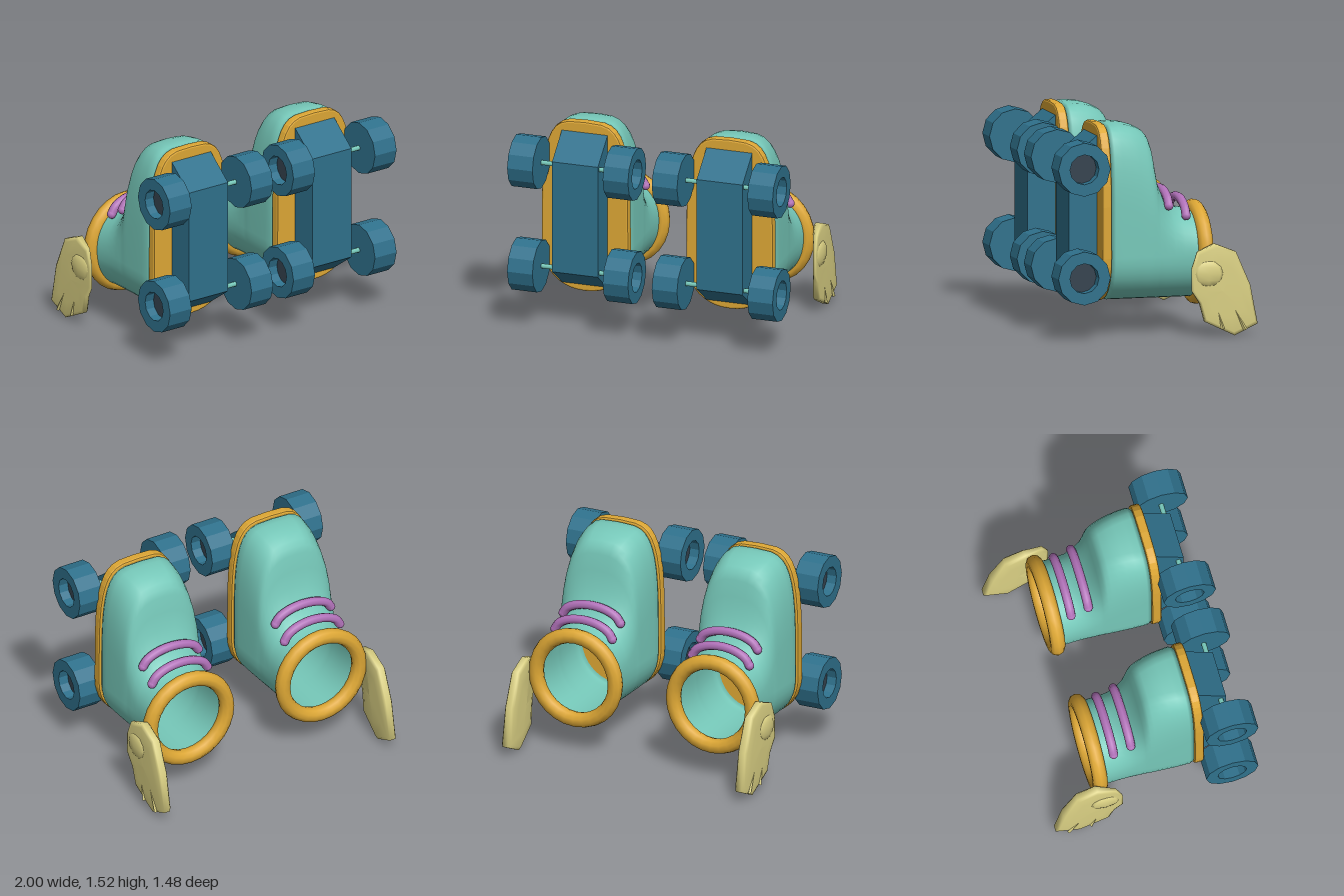
import * as THREE from 'three';

const mat = (name, color, extra = {}) => {
  const m = new THREE.MeshStandardMaterial({ color, ...extra });
  m.name = name;
  return m;
};

// Skin a list of equal-length closed rings of [x, y, z] points
function loft(rings) {
  const n = rings[0].length, index = [];
  for (let i = 0; i < rings.length - 1; i++) {
    for (let j = 0; j < n; j++) {
      const k = (j + 1) % n;
      const a = i * n + j, b = i * n + k, c = a + n, d = b + n;
      index.push(a, c, b, b, c, d);
    }
  }
  const g = new THREE.BufferGeometry();
  g.setAttribute('position', new THREE.Float32BufferAttribute(rings.flat(2), 3));
  g.setIndex(index);
  g.computeVertexNormals();
  return g;
}

function flat(geometry) {
  const g = geometry.index ? geometry.toNonIndexed() : geometry;
  g.computeVertexNormals();
  return g;
}

// Foot outline: round heel at the bottom, squarer toe at the top
function footOutline(w, top, bottom, power, count = 40) {
  const mid = 0.57, pts = [];
  for (let i = 0; i < count; i++) {
    const t = (i / count) * Math.PI * 2, c = Math.cos(t), s = Math.sin(t);
    const e = 2 / (s >= 0 ? power : 2.2);
    const x = Math.sign(c) * Math.abs(c) ** e * w;
    const y = mid + Math.sign(s) * Math.abs(s) ** e * (s >= 0 ? top - mid : mid - bottom);
    pts.push([x, y]);
  }
  return pts;
}

export function createModel() {
  const teal = mat('teal boot', 0x76c8b9, { side: THREE.DoubleSide });
  const gold = mat('gold trim', 0xdda735);
  const blue = mat('blue wheels', 0x2f718c);
  const dark = mat('dark hub', 0x34424e);
  const purple = mat('purple laces', 0xb272ba);
  const cream = mat('cream wing', 0xdad083);

  const add = (parent, name, geometry, material, x = 0, y = 0, z = 0) => {
    const m = new THREE.Mesh(geometry, material);
    m.name = name;
    m.position.set(x, y, z);
    parent.add(m);
    return m;
  };

  // Boot sections from sole to ankle: z, half width, top, bottom, squareness
  const bootGeo = loft([
    [0.315, 0, 0.57, 0.57, 4],
    [0.315, 0.305, 1.485, 0.255, 4],
    [0.28, 0.32, 1.508, 0.24, 4],
    [0.22, 0.32, 1.51, 0.24, 3.8],
    [0.15, 0.318, 1.503, 0.24, 3.6],
    [0.09, 0.315, 1.485, 0.24, 3.4],
    [0.03, 0.312, 1.455, 0.24, 3.1],
    [0, 0.31, 1.42, 0.24, 3],
    [-0.02, 0.308, 1.37, 0.24, 2.9],
    [-0.04, 0.306, 1.25, 0.24, 2.8],
    [-0.06, 0.305, 1.13, 0.24, 2.7],
    [-0.11, 0.303, 1.0, 0.24, 2.5],
    [-0.17, 0.3, 0.915, 0.24, 2.3],
    [-0.24, 0.3, 0.885, 0.24, 2.2],
    [-0.32, 0.303, 0.872, 0.24, 2.1],
    [-0.38, 0.31, 0.87, 0.24, 2],
  ].map(([z, w, top, bottom, p]) => footOutline(w, top, bottom, p).map(([x, y]) => [x, y, z])));

  // Sole slab with a small bevel
  const bevel = 0.014;
  const soleShape = new THREE.Shape(
    footOutline(0.328 - bevel, 1.515 - bevel, 0.238 + bevel, 4).map(p => new THREE.Vector2(...p)));
  const soleGeo = new THREE.ExtrudeGeometry(soleShape, {
    depth: 0.07 - 2 * bevel, bevelSize: bevel, bevelThickness: bevel, bevelSegments: 2,
  });

  // Chassis block with sloping ends
  const chassisGeo = new THREE.ExtrudeGeometry(new THREE.Shape([
    [-0.36, 0.275], [-0.36, 1.452], [-0.585, 1.265], [-0.585, 0.435],
  ].map(p => new THREE.Vector2(...p))), { depth: 0.345, bevelEnabled: false });
  chassisGeo.translate(0, 0, -0.1725).rotateY(Math.PI / 2);

  // Wheel with a recess on its outer (+x) face
  const wheelGeo = flat(new THREE.LatheGeometry([
    [0, -0.095], [0.192, -0.095], [0.192, 0.095], [0.107, 0.095], [0.107, 0.02],
  ].map(p => new THREE.Vector2(...p)), 12).rotateZ(-Math.PI / 2));
  const hubGeo = new THREE.CircleGeometry(0.108, 12).rotateY(Math.PI / 2);
  const axleGeo = new THREE.CylinderGeometry(0.018, 0.018, 0.56, 8).rotateZ(Math.PI / 2);

  const cuffGeo = new THREE.TorusGeometry(0.314, 0.055, 10, 28);

  // Wing outline as [z, y], and slices as [x, scale]
  const wingOutline = [[-0.43, 0.66], [-0.295, 0.61], [-0.25, 0.49], [-0.25, 0.33], [-0.31, 0.24],
    [-0.35, 0.105], [-0.57, 0], [-0.74, 0.08], [-0.685, 0.36], [-0.58, 0.6]];
  const wingSlices = [[0.97, 0], [0.967, 0.6], [0.962, 0.92], [0.95, 1], [0.905, 1], [0.89, 0.92], [0.888, 0.6], [0.888, 0]];

  function buildWing(side) {
    const wing = new THREE.Group();
    wing.name = 'wing';
    const rings = wingSlices.map(([x, k]) => wingOutline.map(([z, y]) => {
      const zz = -0.48 + (z + 0.48) * k, yy = 0.32 + (y - 0.32) * k;
      // The leading edge thins and bends outward around the cuff
      const bend = THREE.MathUtils.clamp((zz + 0.42) / 0.17, 0, 1);
      return [side * THREE.MathUtils.lerp(x, 0.962 + (x - 0.93) * 0.35, bend), yy, zz];
    }));
    if (side < 0) rings.reverse();
    add(wing, 'wingBlade', loft(rings), cream);
    // Rounded shoulder where the wing joins
    const shoulder = add(wing, 'wingShoulder', new THREE.SphereGeometry(1, 8, 6), cream, side * 0.96, 0.45, -0.375);
    shoulder.scale.set(0.03, 0.095, 0.118);
    // Feather creases
    for (const [z0, y0, z1, y1] of [[-0.43, 0.23, -0.48, 0.05], [-0.53, 0.26, -0.645, 0.04]]) {
      const len = Math.hypot(z1 - z0, y1 - y0);
      const crease = add(wing, 'featherCrease', flat(new THREE.ConeGeometry(0.014, len, 4)), cream,
        side * 0.963, (y0 + y1) / 2, (z0 + z1) / 2);
      crease.rotation.x = Math.atan2(z0 - z1, y0 - y1);
    }
    return wing;
  }

  function buildSkate(side) {
    const skate = new THREE.Group();
    skate.name = side > 0 ? 'leftSkate' : 'rightSkate';
    const cx = side * 0.545;
    add(skate, 'boot', bootGeo, teal, cx);
    add(skate, 'sole', soleGeo, gold, cx, 0, 0.31 + bevel);
    add(skate, 'chassis', chassisGeo, blue, cx);
    add(skate, 'cuff', cuffGeo, gold, cx, 0.555, -0.385).scale.y = 1.015;

    // Laces arching over the instep, with rounded ends
    for (const [z, top, low] of [[-0.135, 1.018, 0.905], [-0.262, 0.953, 0.828]]) {
      const pts = [-1, -0.85, -0.5, 0, 0.5, 0.85, 1].map(t =>
        new THREE.Vector3(t * 0.228, low + (top - low) * Math.sqrt(1 - 0.98 * t * t), z));
      add(skate, 'lace', new THREE.TubeGeometry(new THREE.CatmullRomCurve3(pts), 24, 0.033, 8), purple, cx);
      for (const p of [pts[0], pts[6]]) {
        add(skate, 'laceEnd', new THREE.SphereGeometry(0.033, 10, 8), purple, cx + p.x, p.y, p.z);
      }
    }

    // Two axles, each with a wheel at both ends
    for (const y of [0.455, 1.235]) {
      add(skate, 'axle', axleGeo, teal, cx, y, 0.545);
      for (const end of [-1, 1]) {
        const wheel = new THREE.Group();
        wheel.name = 'wheel';
        wheel.position.set(cx + end * 0.36, y, 0.55);
        if (end < 0) wheel.rotation.y = Math.PI;
        add(wheel, 'tyre', wheelGeo, blue);
        add(wheel, 'hub', hubGeo, dark, 0.021);
        skate.add(wheel);
      }
    }
    skate.add(buildWing(side));
    return skate;
  }

  const model = new THREE.Group();
  model.name = 'rollerSkates';
  for (const side of [-1, 1]) model.add(buildSkate(side));
  return model;
}
